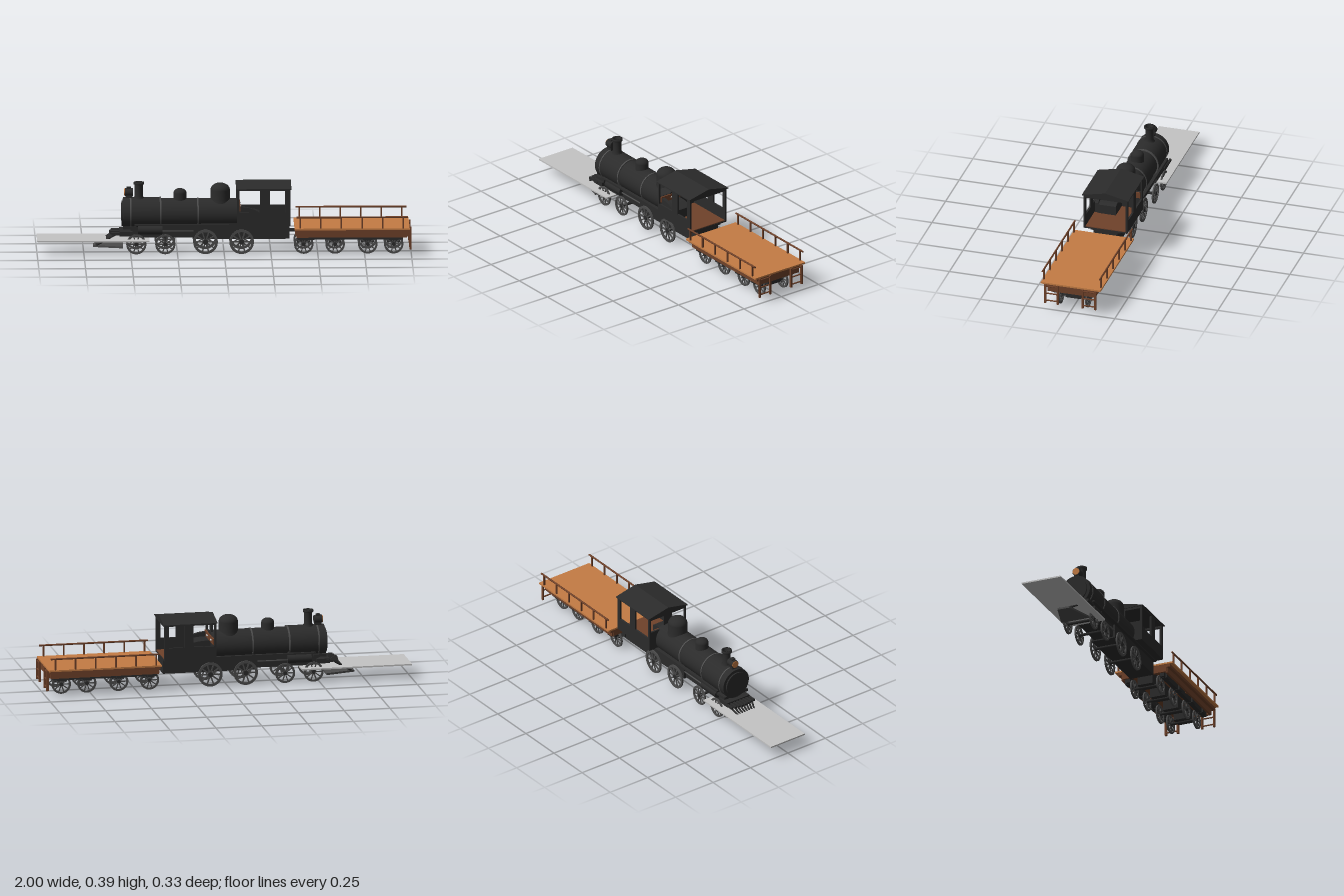
import * as THREE from 'three';

const mat = (name, color) => {
  const m = new THREE.MeshStandardMaterial({ color });
  m.name = name;
  return m;
};

export function createModel() {
  const root = new THREE.Group();
  root.name = 'steamTrain';
  const iron = mat('blackIron', 0x2b2b2b);
  const steel = mat('darkSteel', 0x4c4c4c);
  const brown = mat('brownWood', 0x70422a);
  const tan = mat('tanPlanks', 0xc47c44);
  const pale = mat('paleGrey', 0xc4c4c4);

  const add = (name, geo, material, parent = root) => {
    const m = new THREE.Mesh(geo, material);
    m.name = name;
    parent.add(m);
    return m;
  };
  // Box given by its limits on each axis
  const box = (name, material, x0, x1, y0, y1, z0, z1, parent = root) => {
    const m = add(name, new THREE.BoxGeometry(x1 - x0, y1 - y0, z1 - z0), material, parent);
    m.position.set((x0 + x1) / 2, (y0 + y1) / 2, (z0 + z1) / 2);
    return m;
  };
  // Cylinder lying along x
  const tubeX = (name, material, x0, x1, y, z, r, parent = root, seg = 32) => {
    const g = new THREE.CylinderGeometry(r, r, x1 - x0, seg).rotateZ(Math.PI / 2);
    const m = add(name, g, material, parent);
    m.position.set((x0 + x1) / 2, y, z);
    return m;
  };
  // Round bar between two points
  const bar = (name, material, a, b, r, parent = root) => {
    const p = new THREE.Vector3(...a), q = new THREE.Vector3(...b);
    const m = add(name, new THREE.CylinderGeometry(r, r, p.distanceTo(q), 8), material, parent);
    m.position.copy(p).lerp(q, 0.5);
    m.quaternion.setFromUnitVectors(new THREE.Vector3(0, 1, 0), q.sub(p).normalize());
    return m;
  };
  const lathe = (name, material, pts, x, y, z = 0) => {
    const g = new THREE.LatheGeometry(pts.map(p => new THREE.Vector2(...p)), 32);
    add(name, g, material).position.set(x, y, z);
  };
  const shape = pts => new THREE.Shape(pts.map(p => new THREE.Vector2(...p)));
  const rectHole = (s, x0, x1, y0, y1) =>
    s.holes.push(new THREE.Path([[x0, y0], [x0, y1], [x1, y1], [x1, y0]].map(p => new THREE.Vector2(...p))));
  const rect = (x0, x1, y0, y1) => shape([[x0, y0], [x1, y0], [x1, y1], [x0, y1]]);
  const extrude = (s, depth) => new THREE.ExtrudeGeometry(s, { depth, bevelEnabled: false });

  // Flat track plate in front
  box('trackPlate', pale, -1, -0.4, 0.075, 0.083, -0.113, 0.113);

  // Boiler, smokebox and bands
  tubeX('smokebox', iron, -0.54, -0.345, 0.213, 0, 0.085);
  tubeX('boiler', iron, -0.345, 0.08, 0.213, 0, 0.08);
  tubeX('smokeboxDoor', iron, -0.548, -0.53, 0.213, 0, 0.068);
  for (const x of [-0.5, -0.34, -0.14]) tubeX('boilerBand', steel, x - 0.004, x + 0.004, 0.213, 0, x < -0.3 ? 0.087 : 0.083);

  // Chimney, domes and headlamp
  lathe('chimney', iron, [[0.03, 0], [0.022, 0.015], [0.022, 0.075], [0.028, 0.078], [0.028, 0.09], [0.019, 0.09], [0.019, 0.06], [0, 0.06]], -0.455, 0.292);
  const dome = (name, x, r, top) => {
    const pts = [[r * 1.08, 0], [r, 0.02], [r, top - 0.27 - r * 0.75]];
    for (let i = 1; i <= 8; i++) {
      const a = i / 8 * Math.PI / 2;
      pts.push([Math.max(0, r * Math.cos(a)), top - 0.27 - r * 0.75 * (1 - Math.sin(a))]);
    }
    lathe(name, iron, pts, x, 0.27);
  };
  dome('sandDome', -0.235, 0.035, 0.348);
  dome('steamDome', -0.02, 0.052, 0.377);
  tubeX('headlamp', iron, -0.53, -0.487, 0.328, 0, 0.022);
  tubeX('headlampLens', tan, -0.534, -0.53, 0.328, 0, 0.019);
  box('headlampCap', iron, -0.52, -0.497, 0.345, 0.356, -0.011, 0.011);
  box('headlampBracket', iron, -0.525, -0.49, 0.285, 0.312, -0.014, 0.014);

  // Engine frame
  box('frontFrame', iron, -0.5, -0.16, 0.09, 0.16, -0.055, 0.055);
  box('bufferBeam', iron, -0.54, -0.47, 0.138, 0.152, -0.078, 0.078);
  box('rearFrame', iron, -0.165, 0.35, 0.083, 0.165, -0.068, 0.068);
  for (const s of [-1, 1]) {
    const z = s * 0.076;
    box('runningBoard', iron, -0.48, 0.35, 0.157, 0.166, z - 0.009, z + 0.009);
    tubeX('steamCylinder', iron, -0.46, -0.33, 0.13, s * 0.058, 0.023);
    bar('pistonRod', steel, [-0.33, 0.125, s * 0.062], [-0.16, 0.125, s * 0.062], 0.004);
  }

  // Pilot: low wedge, sloping bars and upper fingers
  const wedge = extrude(shape([[-0.7, -0.035], [-0.54, -0.082], [-0.54, 0.082], [-0.7, 0.035]]), 0.01);
  add('pilotBase', wedge.rotateX(Math.PI / 2), steel).position.y = 0.046;
  for (let i = 0; i < 8; i++) {
    const t = i / 3.5 - 1;
    bar('pilotBar', iron, [-0.685, 0.044, t * 0.034], [-0.575, 0.113, t * 0.072], 0.005);
    const tip = -0.615 + Math.abs(t) * 0.012;
    box('pilotFinger', iron, tip, -0.53, 0.107, 0.119, t * 0.072 - 0.006, t * 0.072 + 0.006);
  }
  box('pilotBeam', iron, -0.56, -0.49, 0.1, 0.125, -0.075, 0.075);

  // Spoked wheels with axles
  const wheelPair = (x, r) => {
    const y = r + 0.003;
    for (const s of [-1, 1]) {
      const w = new THREE.Group();
      w.name = 'wheel';
      w.position.set(x, y, s * 0.076);
      const rim = new THREE.Shape().absarc(0, 0, r, 0, Math.PI * 2);
      rim.holes.push(new THREE.Path().absarc(0, 0, r * 0.8, 0, Math.PI * 2, true));
      add('rim', new THREE.ExtrudeGeometry(rim, { depth: 0.008, bevelEnabled: false, curveSegments: 20 }).translate(0, 0, -0.004), steel, w);
      add('hub', new THREE.CylinderGeometry(r * 0.2, r * 0.2, 0.012, 16).rotateX(Math.PI / 2), iron, w);
      for (let i = 0; i < 5; i++) {
        add('spoke', new THREE.BoxGeometry(r * 1.7, r * 0.11, 0.005), steel, w).rotation.z = i * Math.PI / 5;
      }
      root.add(w);
    }
    bar('axle', iron, [x, y, -0.076], [x, y, 0.076], 0.008);
  };
  for (const x of [-0.47, -0.315]) wheelPair(x, 0.054);
  for (const x of [-0.1, 0.093]) wheelPair(x, 0.066);
  const wagonAxles = [0.425, 0.593, 0.767, 0.906];
  for (const x of wagonAxles) wheelPair(x, 0.052);

  // Cab walls with window openings
  for (const z of [-0.123, 0.113]) {
    const side = rect(0.068, 0.352, 0.165, 0.362);
    rectHole(side, 0.08, 0.195, 0.235, 0.353);
    rectHole(side, 0.243, 0.328, 0.235, 0.353);
    add('cabSide', extrude(side, 0.01), iron).position.z = z;
  }
  const front = rect(-0.113, 0.113, 0.165, 0.362);
  rectHole(front, 0.025, 0.112, 0.274, 0.347);
  rectHole(front, -0.112, -0.025, 0.274, 0.347);
  add('cabFront', extrude(front, 0.01).rotateY(Math.PI / 2), iron).position.x = 0.068;
  box('cabRearLintel', iron, 0.342, 0.352, 0.347, 0.362, -0.113, 0.113);
  const gable = shape([[-0.13, 0.36], [0.13, 0.36], [0.13, 0.364], [0, 0.392], [-0.13, 0.364]]);
  add('cabRoof', extrude(gable, 0.294).rotateY(Math.PI / 2), iron).position.x = 0.064;

  // Cab interior: floor, panel, gauges and firebox
  box('cabFloorFrame', iron, 0.068, 0.352, 0.163, 0.17, -0.122, 0.122);
  box('cabFloor', brown, 0.08, 0.35, 0.17, 0.174, -0.112, 0.112);
  box('cabPanel', brown, 0.078, 0.086, 0.24, 0.272, -0.112, 0.112);
  for (const z of [0.038, -0.065]) {
    add('gauge', new THREE.SphereGeometry(1, 16, 10).scale(0.004, 0.005, 0.014), pale).position.set(0.088, 0.257, z);
  }
  const fire = new THREE.Shape();
  fire.moveTo(0.08, 0.17);
  fire.lineTo(0.19, 0.17);
  fire.lineTo(0.19, 0.225);
  fire.quadraticCurveTo(0.155, 0.24, 0.08, 0.24);
  add('firebox', extrude(fire, 0.097), iron).position.z = -0.009;
  // Curved cover beside the firebox
  const cover = new THREE.Shape();
  cover.moveTo(0.08, 0.17);
  cover.lineTo(0.185, 0.17);
  cover.lineTo(0.185, 0.23);
  cover.quadraticCurveTo(0.155, 0.26, 0.086, 0.264);
  add('fireboxCover', extrude(cover, 0.02), iron).position.z = 0.09;

  // Flat wagon: deck, beams and coupling
  box('deck', tan, 0.375, 0.99, 0.146, 0.155, -0.167, 0.167);
  for (const s of [-1, 1]) {
    box('sideBeam', brown, 0.38, 0.985, 0.13, 0.146, s * 0.14 - 0.01, s * 0.14 + 0.01);
    box('lowerBeam', brown, 0.385, 0.975, 0.1, 0.132, s * 0.128 - 0.006, s * 0.128 + 0.006);
    box('truckFrame', iron, 0.39, 0.955, 0.085, 0.112, s * 0.1 - 0.012, s * 0.1 + 0.012);
  }
  for (const x of [0.38, 0.67, 0.97]) box('crossBeam', brown, x, x + 0.015, 0.105, 0.146, -0.13, 0.13);
  box('wagonFloor', brown, 0.39, 0.97, 0.128, 0.146, -0.13, 0.13);
  for (const x of wagonAxles) {
    box('bolster', iron, x - 0.035, x + 0.035, 0.058, 0.13, -0.043, 0.043);
    for (const s of [-1, 1]) box('axleBox', iron, x - 0.018, x + 0.018, 0.083, 0.13, s * 0.106 - 0.016, s * 0.106 + 0.016);
  }
  box('coupling', iron, 0.34, 0.39, 0.112, 0.128, -0.012, 0.012);

  // Railings and end ladders
  for (const s of [-1, 1]) {
    const z = s * 0.16;
    bar('topRail', brown, [0.385, 0.215, z], [0.98, 0.215, z], 0.005);
    for (let i = 0; i < 6; i++) {
      const x = 0.405 + i * 0.11;
      box('railPost', brown, x - 0.004, x + 0.004, 0.15, 0.215, z - 0.004, z + 0.004);
    }
    for (const p of [0.07, 0.14]) box('ladderPost', brown, 0.988, 1, 0.037, 0.147, s * p - 0.005, s * p + 0.005);
    for (const y of [0.053, 0.095, 0.138]) bar('ladderRung', brown, [0.994, y, s * 0.07], [0.994, y, s * 0.14], 0.004);
  }
  return root;
}
